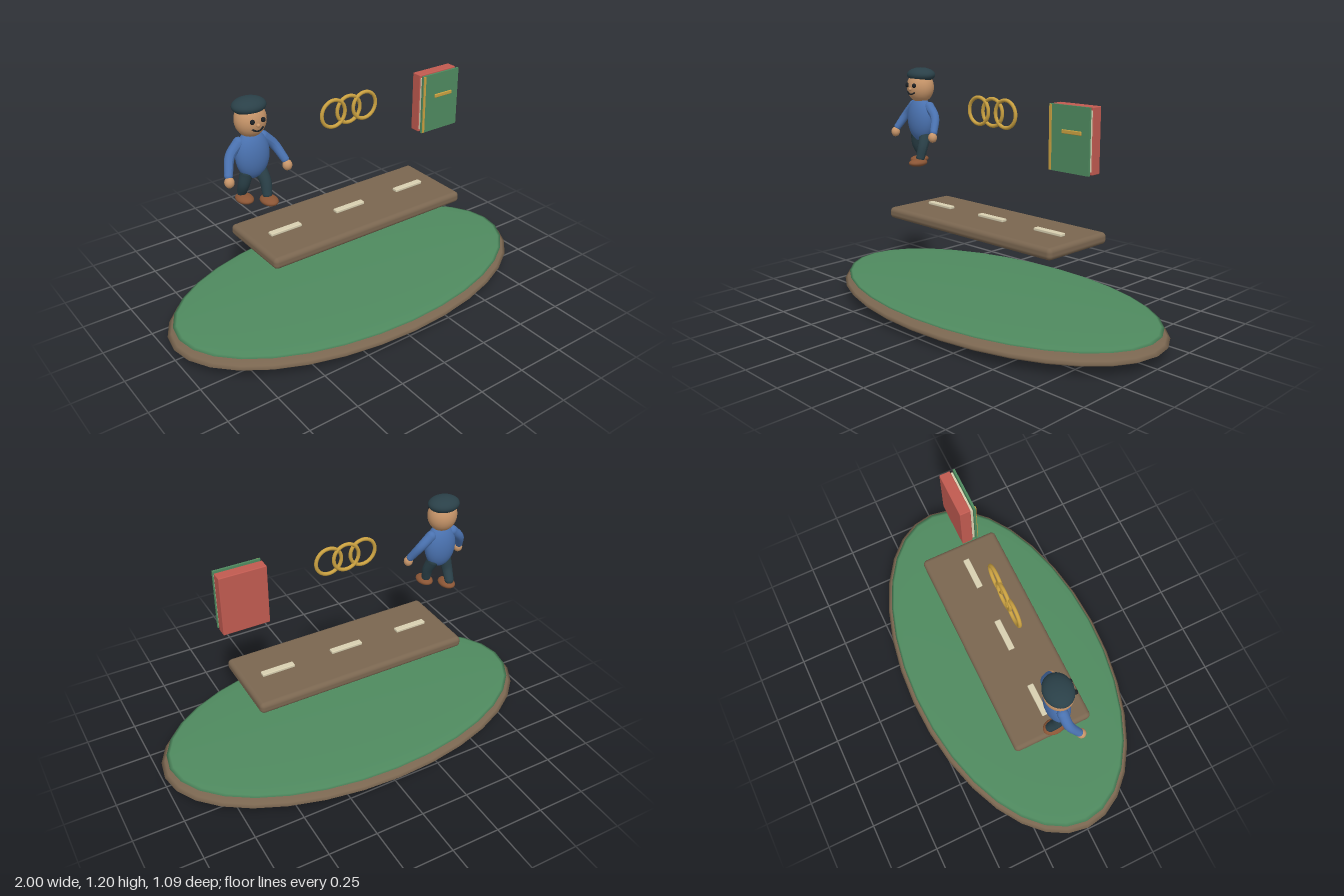
import * as THREE from 'three';
import { RoundedBoxGeometry } from 'three/addons/geometries/RoundedBoxGeometry.js';

const mat = (color) => new THREE.MeshStandardMaterial({ color });
const M = {
  wood: mat(0x7a6650), felt: mat(0x4f8a5f), skin: mat(0xc8966a), blue: mat(0x4a72b0),
  dark: mat(0x2a4048), shoe: mat(0x8a5535), red: mat(0xc05a50), cream: mat(0xd8cfb0),
  gold: mat(0xc9a040), black: mat(0x1c2024),
};

function add(parent, name, geometry, material, x = 0, y = 0, z = 0) {
  const mesh = new THREE.Mesh(geometry, material);
  mesh.name = name;
  mesh.position.set(x, y, z);
  parent.add(mesh);
  return mesh;
}

function ellipsoid(parent, name, material, [x, y, z], [rx, ry, rz], w = 32, h = 16) {
  return add(parent, name, new THREE.SphereGeometry(1, w, h).scale(rx, ry, rz), material, x, y, z);
}

function box(parent, name, material, [x, y, z], [w, h, d], r = 0) {
  const g = r ? new RoundedBoxGeometry(w, h, d, 4, r) : new THREE.BoxGeometry(w, h, d);
  return add(parent, name, g, material, x, y, z);
}

// Curved limb that tapers from radius r0 to r1, closed by round ends
function limb(parent, name, material, points, r0, r1) {
  const curve = new THREE.CatmullRomCurve3(points.map((p) => new THREE.Vector3(...p)));
  const rows = 16, sides = 16;
  const g = new THREE.TubeGeometry(curve, rows, 1, sides);
  const pos = g.attributes.position, v = new THREE.Vector3();
  for (let i = 0; i < pos.count; i++) {
    const t = Math.floor(i / (sides + 1)) / rows;
    const c = curve.getPointAt(t);
    v.fromBufferAttribute(pos, i).sub(c).multiplyScalar(r0 + (r1 - r0) * t).add(c);
    pos.setXYZ(i, v.x, v.y, v.z);
  }
  g.computeVertexNormals();
  add(parent, name, g, material);
  ellipsoid(parent, name + 'Top', material, points[0], [r0, r0, r0], 16, 12);
  ellipsoid(parent, name + 'End', material, points[points.length - 1], [r1, r1, r1], 16, 12);
}

function makeFigure() {
  const f = new THREE.Group();
  f.name = 'figure';
  ellipsoid(f, 'torso', M.blue, [0, 0.932, 0], [0.083, 0.117, 0.056]);
  ellipsoid(f, 'head', M.skin, [0, 1.1, -0.002], [0.074, 0.082, 0.068]);
  ellipsoid(f, 'cap', M.dark, [0, 1.162, -0.008], [0.08, 0.038, 0.068]);
  ellipsoid(f, 'nose', M.skin, [0, 1.092, 0.066], [0.009, 0.009, 0.01], 12, 8);
  // Smile
  const smile = new THREE.QuadraticBezierCurve3(
    new THREE.Vector3(-0.028, 1.078, 0.06),
    new THREE.Vector3(0, 1.052, 0.07),
    new THREE.Vector3(0.028, 1.078, 0.06));
  add(f, 'mouth', new THREE.TubeGeometry(smile, 12, 0.004, 8), M.black);

  for (const s of [-1, 1]) {
    ellipsoid(f, 'eye', M.black, [s * 0.027, 1.112, 0.064], [0.011, 0.012, 0.01], 16, 12);
    limb(f, 'arm', M.blue,
      [[s * 0.062, 1.0, -0.008], [s * 0.112, 0.95, 0.0], [s * 0.145, 0.88, 0.038]], 0.026, 0.019);
    ellipsoid(f, 'hand', M.skin, [s * 0.149, 0.854, 0.05], [0.023, 0.026, 0.023], 16, 12);
    // Legs in mid stride, left foot forward
    const ankle = s > 0 ? 0.042 : -0.042, knee = s > 0 ? 0.028 : -0.012;
    limb(f, 'leg', M.dark,
      [[s * 0.035, 0.85, 0], [s * 0.045, 0.79, knee], [s * 0.042, 0.737, ankle]], 0.031, 0.023);
    ellipsoid(f, 'shoe', M.shoe, [s * 0.041, 0.711, s > 0 ? 0.058 : -0.022], [0.039, 0.02, 0.054], 24, 12);
  }
  f.position.x = -0.53;
  return f;
}

function makeRings() {
  const g = new THREE.Group();
  g.name = 'linkedRings';
  for (const i of [-1, 0, 1]) {
    add(g, 'ring', new THREE.TorusGeometry(0.066, 0.009, 12, 40), M.gold, i * 0.09, 1.015, i ? 0.002 : -0.002);
  }
  return g;
}

function makeBook() {
  const b = new THREE.Group();
  b.name = 'book';
  box(b, 'backVolume', M.red, [0.525, 0.95, 0.002], [0.23, 0.3, 0.054], 0.004);
  box(b, 'pages', M.cream, [0.525, 0.95, 0.035], [0.222, 0.27, 0.012]);
  box(b, 'frontCover', M.felt, [0.525, 0.95, 0.049], [0.23, 0.3, 0.01]);
  box(b, 'spineStrip', M.gold, [0.42, 0.95, 0.054], [0.012, 0.296, 0.009]);
  box(b, 'clasp', M.gold, [0.542, 0.983, 0.056], [0.11, 0.018, 0.009], 0.003);
  return b;
}

export function createModel() {
  const model = new THREE.Group();
  model.name = 'displayTable';

  // Oval base with its felt top
  ellipsoid(model, 'ovalBase', M.wood, [0, 0.06, 0], [1, 0.06, 0.545]);
  ellipsoid(model, 'feltTop', M.felt, [0, 0.104, 0], [0.97, 0.019, 0.523]);

  // Floating shelf with three label plates
  box(model, 'shelf', M.wood, [0, 0.457, 0], [1.115, 0.057, 0.41], 0.022);
  for (const x of [-0.375, 0, 0.375]) {
    box(model, 'labelPlate', M.cream, [x, 0.492, 0.001], [0.17, 0.015, 0.032], 0.004);
  }

  model.add(makeFigure(), makeRings(), makeBook());
  return model;
}
